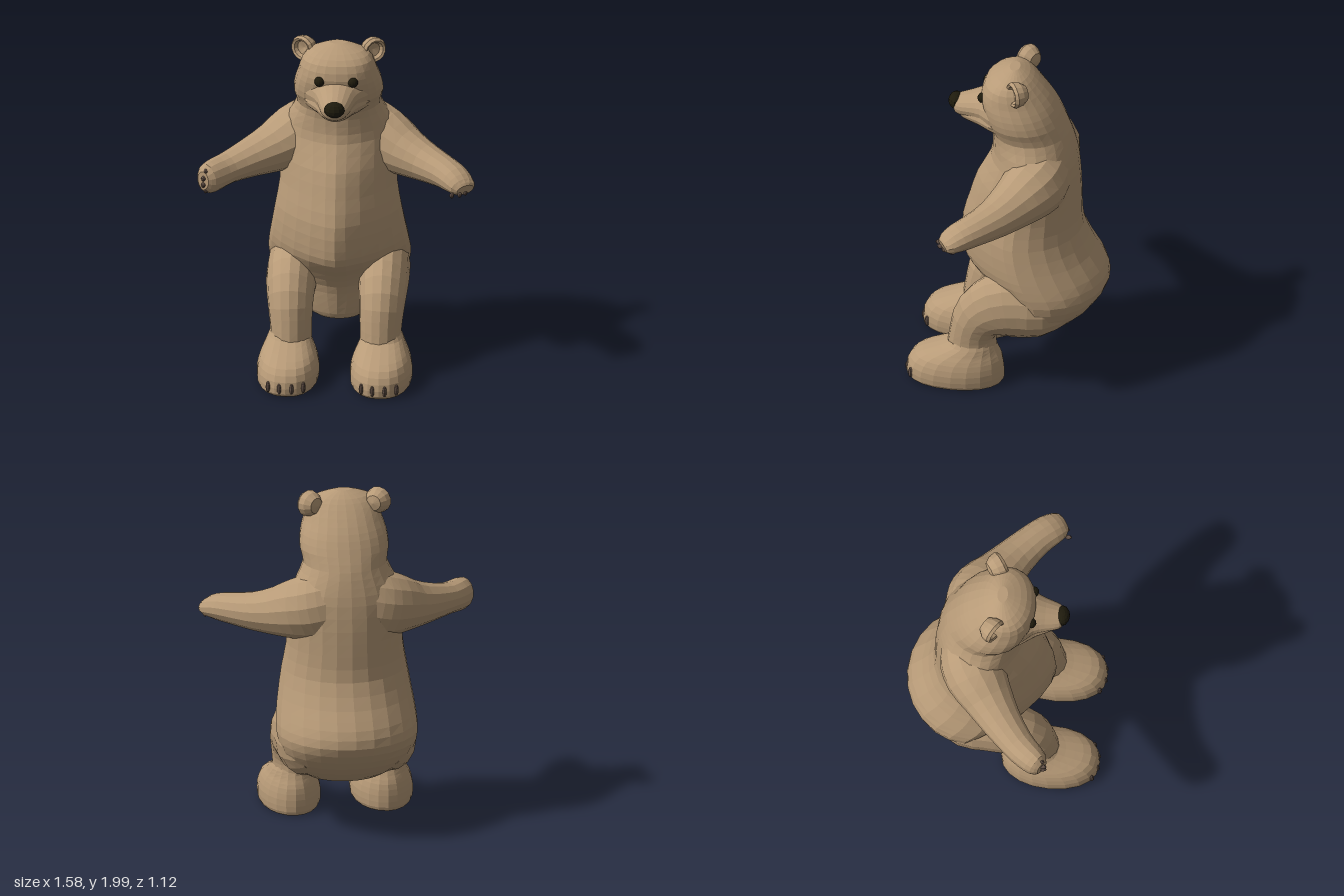
import * as THREE from 'three';

const fur = new THREE.MeshStandardMaterial({ color: 0xb89b78 });
fur.name = 'fur';
const dark = new THREE.MeshStandardMaterial({ color: 0x1f1b0d });
dark.name = 'noseAndEyes';
const horn = new THREE.MeshStandardMaterial({ color: 0x66544a });
horn.name = 'claws';

// Faceted mesh: unshared corners give every face its own normal.
function part(name, geometry, material) {
  const flat = geometry.index ? geometry.toNonIndexed() : geometry;
  flat.computeVertexNormals();
  const mesh = new THREE.Mesh(flat, material);
  mesh.name = name;
  return mesh;
}

// Skin over rows [x, y, z, radius along side, radius across, front power]; a fixed axis keeps
// rings parallel. A front power above 1 points the front half of a ring, below 1 squares it.
function loft(rows, { side, axis, segs = 18, steps = 2 }) {
  const path = new THREE.CatmullRomCurve3(rows.map(r => new THREE.Vector3(r[0], r[1], r[2])), false, 'catmullrom', 0.5);
  const size = new THREE.CatmullRomCurve3(rows.map(r => new THREE.Vector3(r[3], r[4], r[5] ?? 1)), false, 'catmullrom', 0.5);
  const rings = (rows.length - 1) * steps;
  const pos = [], idx = [];
  const bend = (v, power) => Math.sign(v) * Math.abs(v) ** power;
  for (let i = 0; i <= rings; i++) {
    const c = path.getPoint(i / rings), r = size.getPoint(i / rings);
    const t = axis ? axis.clone() : path.getTangent(i / rings);
    const b = side.clone().addScaledVector(t, -side.dot(t)).normalize();
    const n = t.clone().cross(b);
    for (let j = 0; j < segs; j++) {
      const a = (j / segs) * Math.PI * 2, power = j > segs / 2 ? r.z : 1;
      const p = c.clone().addScaledVector(b, bend(Math.cos(a), power) * r.x).addScaledVector(n, bend(Math.sin(a), power) * r.y);
      pos.push(p.x, p.y, p.z);
    }
  }
  const first = pos.length / 3, last = first + 1;
  pos.push(...path.getPoint(0).toArray(), ...path.getPoint(1).toArray());
  for (let j = 0; j < segs; j++) {
    const k = (j + 1) % segs, top = rings * segs;
    for (let i = 0; i < rings; i++) {
      const a = i * segs + j, b = i * segs + k;
      idx.push(a, b, b + segs, a, b + segs, a + segs);
    }
    idx.push(first, k, j, last, top + j, top + k);
  }
  const g = new THREE.BufferGeometry();
  g.setAttribute('position', new THREE.Float32BufferAttribute(pos, 3));
  g.setIndex(idx);
  return g;
}

const X = new THREE.Vector3(1, 0, 0);
const Y = new THREE.Vector3(0, 1, 0);
const Z = new THREE.Vector3(0, 0, 1);

function ball(name, material, [x, y, z], [rx, ry, rz], w = 12, h = 8) {
  const mesh = part(name, new THREE.SphereGeometry(1, w, h), material);
  mesh.scale.set(rx, ry, rz);
  mesh.position.set(x, y, z);
  return mesh;
}

// Torso, neck and skull: [y, front z, back z, half width, front power]
function body() {
  const rows = [
    [0.275, 0.04, -0.16, 0.13, 1], [0.31, 0.06, -0.28, 0.22, 1.2], [0.4, 0.08, -0.42, 0.32, 1.3],
    [0.5, 0.11, -0.51, 0.38, 1.4], [0.6, 0.18, -0.56, 0.405, 1.4], [0.7, 0.27, -0.535, 0.4, 1.4],
    [0.8, 0.29, -0.475, 0.385, 1.38], [0.95, 0.285, -0.41, 0.36, 1.35], [1.1, 0.245, -0.4, 0.335, 1.3],
    [1.25, 0.2, -0.395, 0.33, 1.3], [1.4, 0.125, -0.38, 0.325, 1.25], [1.5, 0.11, -0.36, 0.285, 1.1],
    [1.59, 0.115, -0.335, 0.24, 0.95], [1.67, 0.145, -0.3, 0.255, 0.9], [1.75, 0.165, -0.26, 0.247, 0.88],
    [1.82, 0.175, -0.215, 0.225, 0.88], [1.9, 0.15, -0.15, 0.2, 0.9], [1.95, 0.09, -0.1, 0.15, 1],
    [1.985, 0.015, -0.045, 0.05, 1],
  ].map(([y, f, b, w, p]) => [0, y, (f + b) / 2, w, (f - b) / 2, p]);
  return part('body', loft(rows, { side: X, axis: Y, segs: 24 }), fur);
}

// Muzzle, lower jaw, nose, eyes and ears
function face() {
  const g = new THREE.Group();
  g.name = 'face';
  g.add(part('muzzle', loft([
    [0, 1.71, 0.02, 0.23, 0.12], [0, 1.71, 0.11, 0.175, 0.115], [0, 1.71, 0.17, 0.125, 0.095],
    [0, 1.703, 0.23, 0.1, 0.076], [0, 1.695, 0.29, 0.082, 0.063], [0, 1.695, 0.325, 0.062, 0.05],
    [0, 1.695, 0.336, 0.03, 0.025],
  ], { side: X, axis: Z, segs: 18 }), fur));
  g.add(part('lowerJaw', loft([
    [0, 1.66, 0.02, 0.22, 0.09], [0, 1.66, 0.11, 0.17, 0.08], [0, 1.66, 0.18, 0.12, 0.067],
    [0, 1.66, 0.24, 0.092, 0.054], [0, 1.66, 0.285, 0.066, 0.04], [0, 1.66, 0.302, 0.03, 0.018],
  ], { side: X, axis: Z, segs: 18 }), fur));
  g.add(ball('nose', dark, [0, 1.713, 0.325], [0.06, 0.047, 0.044]));

  const cup = [[0, -0.07], [0.045, -0.06], [0.07, -0.025], [0.077, 0.012], [0.066, 0.03], [0.052, 0.024], [0.042, 0.004], [0, -0.006]]
    .map(([r, y]) => new THREE.Vector2(r, y));
  for (const s of [1, -1]) {
    const sideName = s > 0 ? 'left' : 'right';
    g.add(ball(sideName + 'Eye', dark, [s * 0.095, 1.81, 0.157], [0.03, 0.03, 0.028]));
    const ear = part(sideName + 'Ear', new THREE.LatheGeometry(cup, 14).rotateX(Math.PI / 2), fur);
    ear.rotation.y = s * 0.6;
    ear.position.set(s * 0.197, 1.922, -0.055);
    g.add(ear);
  }
  return g;
}

// Arm reaching out and forward from a broad shoulder; the right wrist is turned on edge.
function arm(s) {
  const g = new THREE.Group();
  g.name = s > 0 ? 'leftArm' : 'rightArm';
  const paw = s > 0
    ? [[0.615, 1.247, 0.12, 0.09, 0.1], [0.68, 1.235, 0.19, 0.077, 0.094], [0.725, 1.217, 0.245, 0.055, 0.08], [0.742, 1.208, 0.27, 0.032, 0.055]]
    : [[0.62, 1.24, 0.12, 0.09, 0.095], [0.685, 1.23, 0.19, 0.095, 0.085], [0.73, 1.225, 0.245, 0.09, 0.07], [0.75, 1.225, 0.272, 0.055, 0.04]];
  const rows = [
    [0.08, 1.37, -0.23, 0.2, 0.14], [0.17, 1.345, -0.19, 0.2, 0.175], [0.27, 1.32, -0.14, 0.18, 0.175],
    [0.38, 1.285, -0.065, 0.143, 0.145], [0.5, 1.26, 0.02, 0.112, 0.117], ...paw,
  ].map(([x, ...rest]) => [s * x, ...rest]);
  g.add(part('limb', loft(rows, { side: Y, segs: 14 }), fur));
  for (let i = 0; i < 4; i++) {
    const k = (i - 1.5) / 1.5, sag = 0.015 * k * k;
    const at = s > 0
      ? [0.727 + 0.045 * k - sag, 1.185, 0.272 - 0.045 * k - sag]
      : [-0.75 + sag, 1.22 + 0.06 * k, 0.279 - sag];
    g.add(ball('claw', horn, at, [0.013, 0.015, 0.022], 8, 6));
  }
  return g;
}

// Bent thigh and shin on a broad flat foot
function leg(s) {
  const g = new THREE.Group();
  g.name = s > 0 ? 'leftLeg' : 'rightLeg';
  const limb = [
    [0.18, 0.53, -0.33, 0.13, 0.13], [0.23, 0.53, -0.2, 0.165, 0.2], [0.25, 0.53, -0.07, 0.157, 0.21],
    [0.262, 0.507, 0.04, 0.145, 0.195], [0.262, 0.44, 0.135, 0.132, 0.157], [0.257, 0.34, 0.178, 0.122, 0.135],
    [0.255, 0.25, 0.185, 0.118, 0.142], [0.257, 0.14, 0.19, 0.12, 0.15],
  ].map(([x, ...rest]) => [s * x, ...rest]);
  g.add(part('limb', loft(limb, { side: X, segs: 16 }), fur));
  const foot = [
    [0.008, 0.275, 0.16, 0.265], [0.03, 0.28, 0.175, 0.28], [0.1, 0.278, 0.177, 0.278],
    [0.165, 0.262, 0.16, 0.252], [0.21, 0.225, 0.137, 0.195], [0.25, 0.187, 0.118, 0.14],
    [0.285, 0.182, 0.1, 0.12],
  ].map(([y, z, w, d]) => [s * 0.265, y, z, w, d, 0.88]);
  g.add(part('foot', loft(foot, { side: X, axis: Y, segs: 20 }), fur));
  for (const dx of [-0.1, -0.035, 0.035, 0.1]) {
    const z = 0.28 + 0.28 * Math.sqrt(1 - (dx / 0.178) ** 2) - (Math.abs(dx) > 0.05 ? -0.01 : 0.006);
    g.add(ball('claw', horn, [s * (0.265 + dx), 0.06, z], [0.014, 0.034, 0.016], 8, 6));
  }
  return g;
}

export function createModel() {
  const bear = new THREE.Group();
  bear.name = 'bear';
  bear.add(body(), face());
  for (const s of [1, -1]) bear.add(arm(s), leg(s));
  return bear;
}
